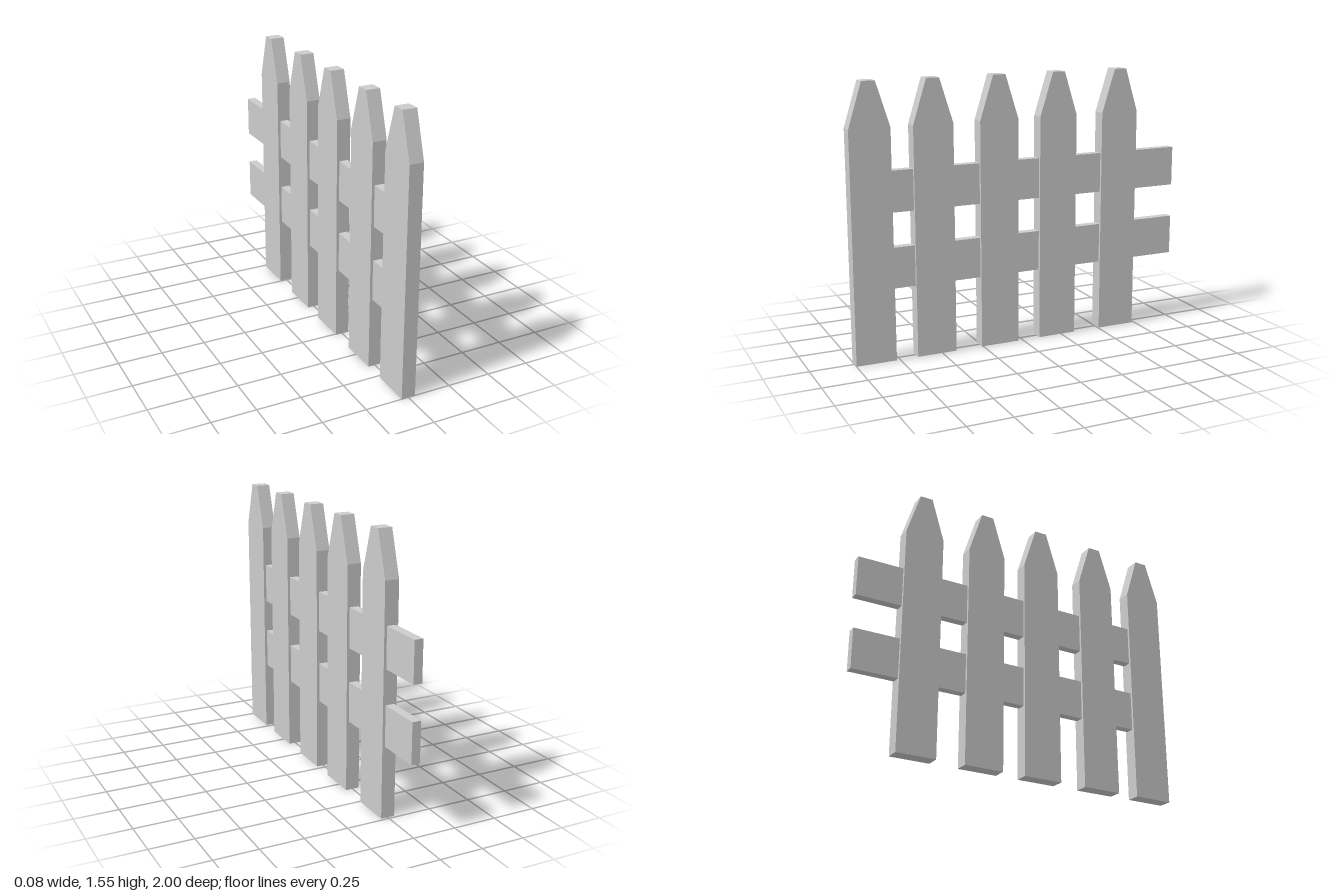
import * as THREE from 'three';

export function createModel() {
  const group = new THREE.Group();
  const material = new THREE.MeshStandardMaterial({ color: 0xcccccc, flatShading: true });

  // Pickets: flat boards with tapered, blunt tips
  const halfWidth = 0.115, halfTip = 0.037, shoulder = 1.3, height = 1.55, thickness = 0.08;
  const outline = new THREE.Shape([
    new THREE.Vector2(-halfWidth, 0),
    new THREE.Vector2(halfWidth, 0),
    new THREE.Vector2(halfWidth, shoulder),
    new THREE.Vector2(halfTip, height),
    new THREE.Vector2(-halfTip, height),
    new THREE.Vector2(-halfWidth, shoulder),
  ]);
  const picketGeometry = new THREE.ExtrudeGeometry(outline, { depth: thickness, bevelEnabled: false });
  picketGeometry.translate(0, 0, -thickness / 2).rotateY(Math.PI / 2);
  [0.885, 0.53, 0.143, -0.223, -0.62].forEach((z, i) => {
    const picket = new THREE.Mesh(picketGeometry, material);
    picket.name = `picket${i + 1}`;
    picket.position.z = z;
    group.add(picket);
  });

  // Rails: run through the pickets and stick out past the back one
  const railBack = -1, railFront = 0.9;
  const railGeometry = new THREE.BoxGeometry(0.05, 0.23, railFront - railBack);
  [['lowerRail', 0.525], ['upperRail', 0.95]].forEach(([name, y]) => {
    const rail = new THREE.Mesh(railGeometry, material);
    rail.name = name;
    rail.position.set(0, y, (railFront + railBack) / 2);
    group.add(rail);
  });

  return group;
}
